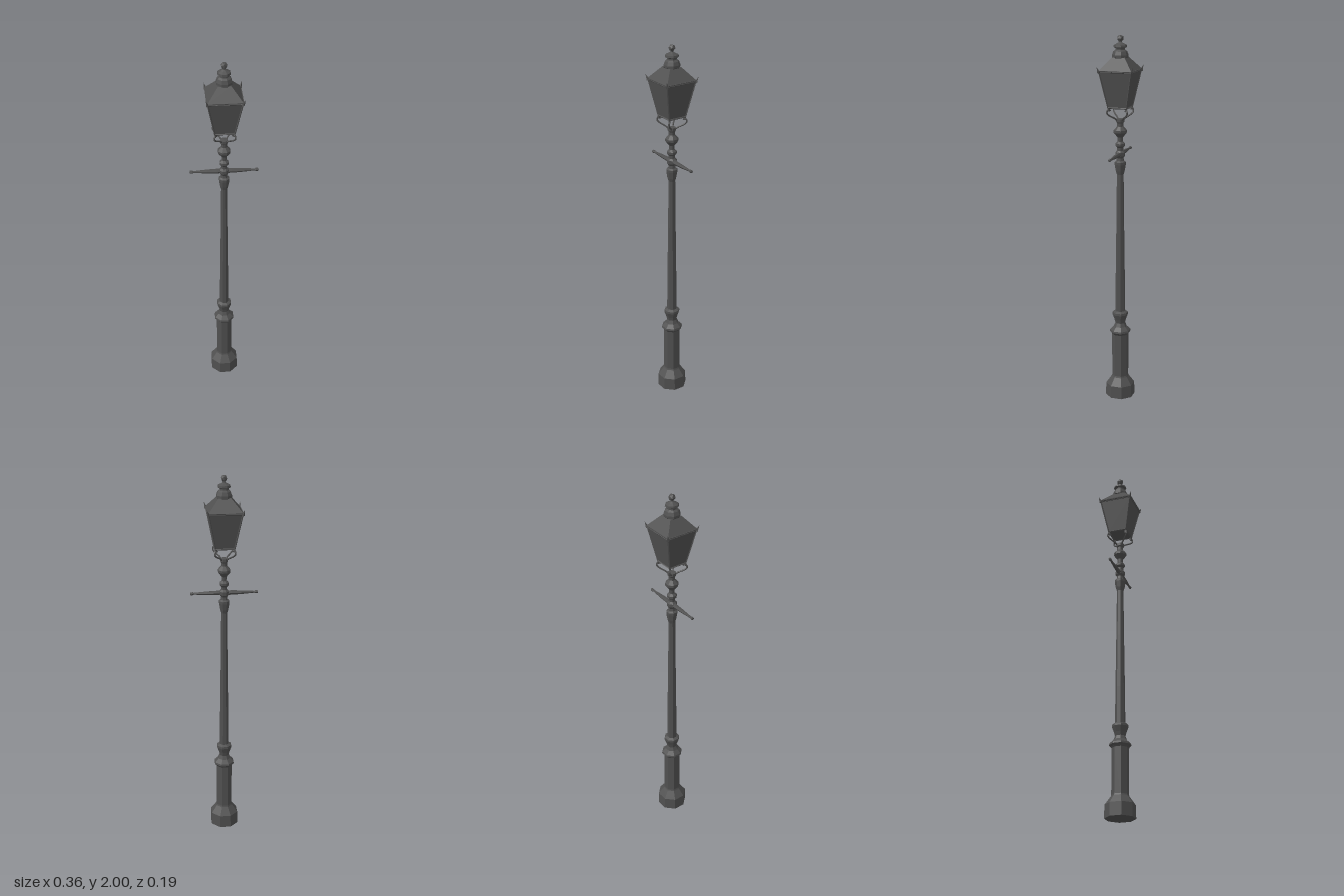
import * as THREE from 'three';

const iron = new THREE.MeshStandardMaterial({ color: 0x505050, flatShading: true });
const sheet = new THREE.MeshStandardMaterial({ color: 0x505050, flatShading: true, side: THREE.DoubleSide });

export function createModel() {
  const root = new THREE.Group();

  const add = (name, geometry, material = iron, parent = root) => {
    const mesh = new THREE.Mesh(geometry, material);
    mesh.name = name;
    parent.add(mesh);
    return mesh;
  };

  // Faceted turned part from [radius, height] pairs, listed bottom to top
  const turned = (name, profile, sides = 8) => {
    const geometry = new THREE.LatheGeometry(profile.map(([r, y]) => new THREE.Vector2(r, y)), sides);
    return add(name, geometry.rotateY(Math.PI / sides));
  };

  // Square tapered part; half widths at the bottom and top
  const square = (name, low, high, y0, y1, open = false) => {
    const k = Math.SQRT2;
    const geometry = new THREE.CylinderGeometry(high * k, low * k, y1 - y0, 4, 1, open);
    geometry.rotateY(Math.PI / 4).translate(0, (y0 + y1) / 2, 0);
    return add(name, geometry, open ? sheet : iron);
  };

  // Straight bar between two points
  const bar = (name, a, b, r, parent = root) => {
    const direction = b.clone().sub(a);
    const mesh = add(name, new THREE.CylinderGeometry(r, r, direction.length(), 4), iron, parent);
    mesh.position.copy(a).add(b).multiplyScalar(0.5);
    mesh.quaternion.setFromUnitVectors(new THREE.Vector3(0, 1, 0), direction.normalize());
    return mesh;
  };

  // Pedestal and its moulded top
  turned('base', [[0, 0], [0.08, 0], [0.079, 0.07], [0.068, 0.085], [0.048, 0.112], [0.045, 0.12]]);
  turned('pedestal', [[0.045, 0.11], [0.045, 0.365], [0.05, 0.372], [0.058, 0.38], [0.056, 0.39],
    [0.036, 0.41], [0.027, 0.43], [0.032, 0.45], [0.043, 0.48], [0.042, 0.492], [0.027, 0.5]]);

  // Tall shaft
  turned('shaft', [[0.027, 0.49], [0.025, 0.7], [0.021, 1.0], [0.018, 1.28]]);

  // Capital and stacked rings up to the lantern
  turned('capital', [[0.018, 1.27], [0.024, 1.29], [0.03, 1.325], [0.03, 1.338], [0.02, 1.345],
    [0.018, 1.36], [0.026, 1.372], [0.026, 1.39], [0.017, 1.4], [0.017, 1.415], [0.026, 1.425],
    [0.026, 1.437], [0.014, 1.448], [0.015, 1.47], [0.035, 1.495], [0.035, 1.508],
    [0.017, 1.528], [0.017, 1.545], [0.022, 1.552], [0.022, 1.568], [0, 1.57]]);

  // Ladder rest: two tapered arms ending in small knobs
  for (const side of [1, -1]) {
    const arm = new THREE.Group();
    arm.name = side > 0 ? 'leftArm' : 'rightArm';
    arm.position.y = 1.381;
    arm.rotation.y = side > 0 ? 0 : Math.PI;
    root.add(arm);
    const rod = new THREE.LatheGeometry(
      [[0.012, 0], [0.012, 0.04], [0.010, 0.09], [0.005, 0.16], [0.008, 0.164],
        [0.008, 0.177], [0, 0.18]].map(([r, y]) => new THREE.Vector2(r, y)), 6);
    add('armRod', rod.rotateZ(-Math.PI / 2), iron, arm);
  }

  // Curled brackets, one under each lantern corner
  for (let i = 0; i < 4; i++) {
    const path = new THREE.CatmullRomCurve3([[0.012, 1.555], [0.032, 1.572], [0.062, 1.588],
      [0.077, 1.602], [0.074, 1.618], [0.063, 1.622], [0.057, 1.614]]
      .map(([x, y]) => new THREE.Vector3(x, y, 0)));
    add('bracket', new THREE.TubeGeometry(path, 12, 0.0045, 5)).rotation.y = Math.PI / 4 + i * Math.PI / 2;
    const foot = add('bracketFoot', new THREE.CylinderGeometry(0.005, 0.005, 0.02, 5));
    const angle = Math.PI / 4 + i * Math.PI / 2;
    foot.position.set(0.068 * Math.cos(angle), 1.622, 0.068 * Math.sin(angle));
  }

  // Lantern panes and floor
  square('lanternPanes', 0.05, 0.086, 1.628, 1.815, true);
  square('lanternFloor', 0.05, 0.051, 1.63, 1.635);

  // Lantern frame: corner posts with bottom and top rails
  const frame = new THREE.Group();
  frame.name = 'lanternFrame';
  root.add(frame);
  for (let i = 0; i < 4; i++) {
    const corner = (j, h, y) => {
      const a = Math.PI / 4 + j * Math.PI / 2;
      return new THREE.Vector3(h * Math.SQRT2 * Math.cos(a), y, h * Math.SQRT2 * Math.sin(a));
    };
    bar('cornerPost', corner(i, 0.05, 1.628), corner(i, 0.086, 1.815), 0.004, frame);
    bar('bottomRail', corner(i, 0.05, 1.63), corner(i + 1, 0.05, 1.63), 0.005, frame);
    bar('topRail', corner(i, 0.088, 1.818), corner(i + 1, 0.088, 1.818), 0.005, frame);

    // Upturned horn at each eave corner
    const horn = add('eaveHorn', new THREE.ConeGeometry(0.009, 0.034, 4), iron, frame);
    horn.position.copy(corner(i, 0.091, 1.828));
    horn.quaternion.setFromUnitVectors(new THREE.Vector3(0, 1, 0),
      corner(i, 0.3, 1).normalize());
  }

  // Roof
  square('eave', 0.089, 0.092, 1.812, 1.824);
  square('roof', 0.09, 0.034, 1.822, 1.888);

  // Vented chimney and finial
  turned('chimney', [[0.03, 1.875], [0.043, 1.888], [0.043, 1.9], [0.036, 1.918], [0.025, 1.926],
    [0.025, 1.934], [0.036, 1.94], [0.034, 1.95], [0.018, 1.958], [0.008, 1.964], [0.008, 1.972]]);
  const finial = add('finial', new THREE.IcosahedronGeometry(0.019, 0));
  finial.position.y = 1.984;
  finial.scale.y = 0.99;

  return root;
}
